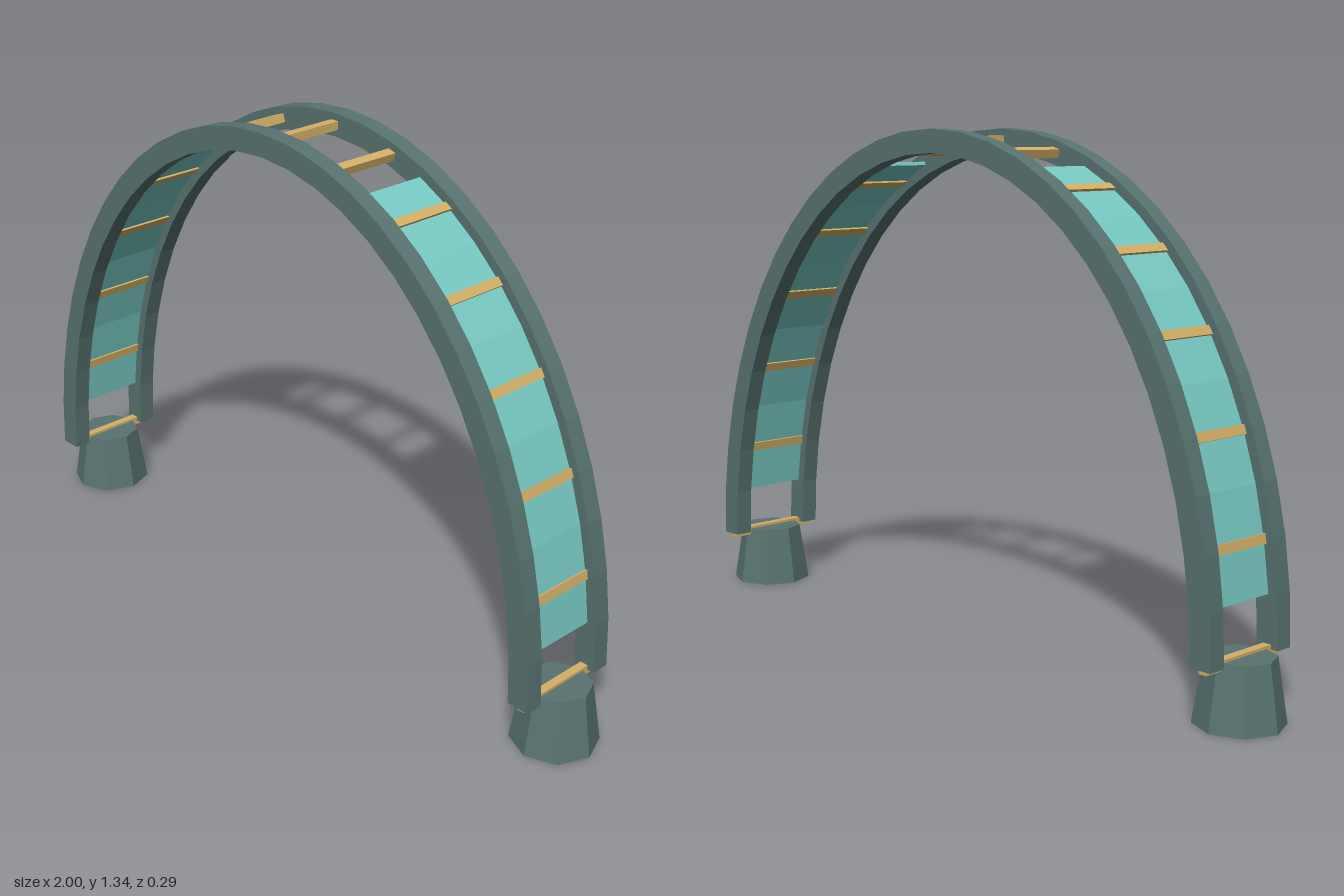
import * as THREE from 'three';

const RX = 0.89, RY = 1.155, BASE_Y = 0.155; // centre line of the arch
const STEPS = 14;                            // rung spacings over the half ellipse

// Centre line point, outward normal; s counts rung steps from the crown
function archPoint(s) {
  const t = (s * Math.PI) / STEPS;
  const p = new THREE.Vector2(RX * Math.sin(t), BASE_Y + RY * Math.cos(t));
  const n = new THREE.Vector2(RY * Math.sin(t), RX * Math.cos(t)).normalize();
  return { p, n };
}

// Curved band following the arch, extruded across z
function archBand(from, to, segments, thickness, width) {
  const outer = [], inner = [];
  for (let i = 0; i <= segments; i++) {
    const { p, n } = archPoint(from + ((to - from) * i) / segments);
    outer.push(p.clone().addScaledVector(n, thickness / 2));
    inner.unshift(p.clone().addScaledVector(n, -thickness / 2));
  }
  const shape = new THREE.Shape([...outer, ...inner]);
  const geo = new THREE.ExtrudeGeometry(shape, { depth: width, bevelEnabled: false });
  return geo.translate(0, 0, -width / 2);
}

export function createModel() {
  const model = new THREE.Group();
  model.name = 'ladderArch';
  const material = (name, color, extra = {}) => {
    const m = new THREE.MeshStandardMaterial({ color, ...extra });
    m.name = name;
    return m;
  };
  const slate = material('slateGreen', 0x587370, { flatShading: true });
  const teal = material('teal', 0x78cac4);
  const gold = material('gold', 0xd4b067);

  const add = (name, geo, mat, x = 0, y = 0, z = 0) => {
    const mesh = new THREE.Mesh(geo, mat);
    mesh.name = name;
    mesh.position.set(x, y, z);
    model.add(mesh);
    return mesh;
  };

  // Two parallel rails
  const railGeo = archBand(-7, 7, 28, 0.06, 0.048);
  add('frontRail', railGeo, slate, 0, 0, 0.121);
  add('backRail', railGeo, slate, 0, 0, -0.121);

  // Rungs at even steps, turned to follow the curve
  const rungGeo = new THREE.BoxGeometry(0.024, 0.022, 0.27);
  for (let s = -7; s <= 7; s++) {
    const { p, n } = archPoint(s);
    add('rung', rungGeo, gold, p.x, p.y).rotation.z = Math.atan2(n.y, n.x) - Math.PI / 2;
  }

  // Curved panels and tapered eight-sided feet on both sides
  const footGeo = new THREE.CylinderGeometry(0.085, 0.11, 0.16, 8);
  for (const [side, sign] of [['left', 1], ['right', -1]]) {
    add(side + 'Panel', archBand(sign * 1.5, sign * 6.5, 10, 0.01, 0.194), teal);
    add(side + 'Foot', footGeo, slate, sign * RX, 0.08);
  }
  return model;
}
